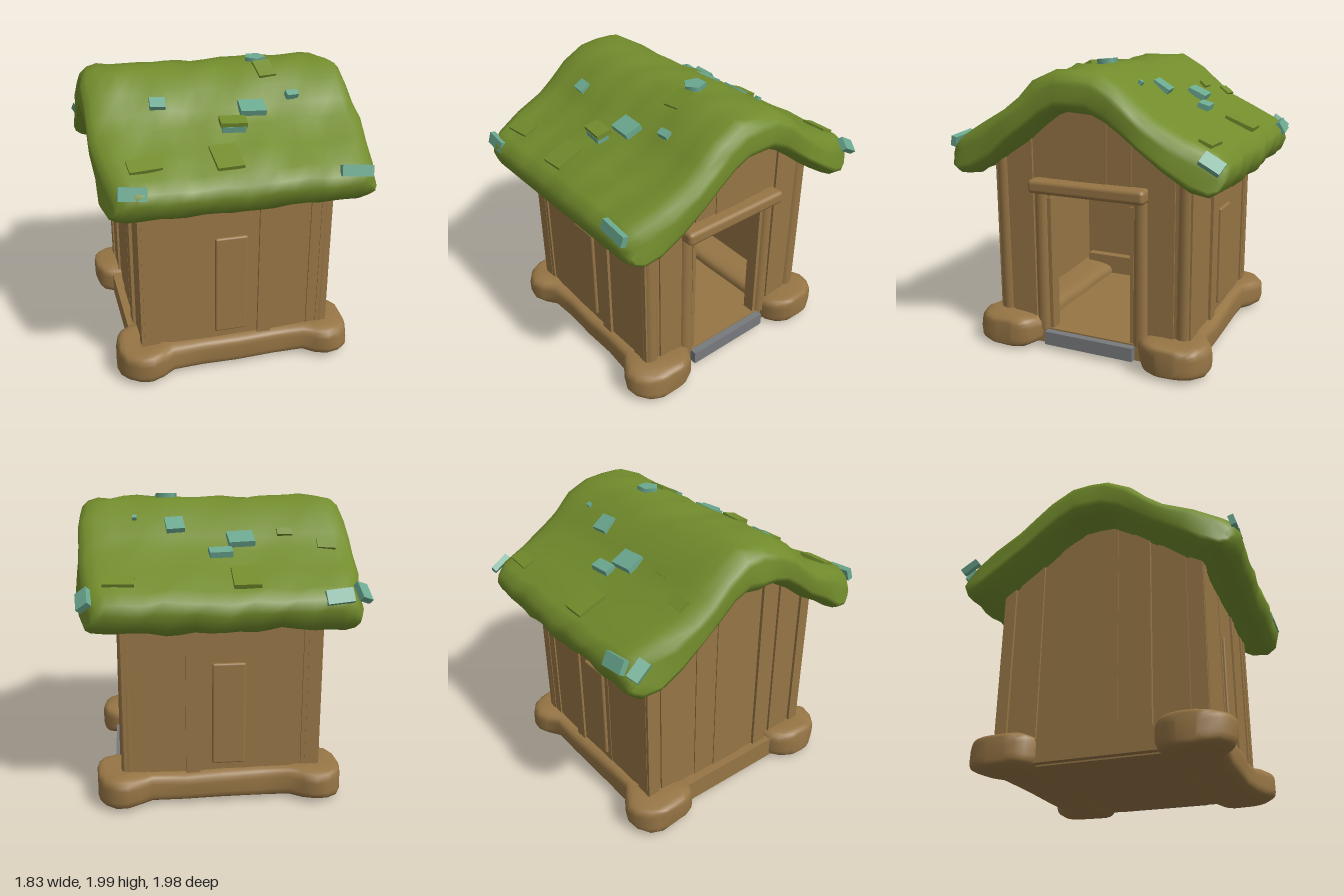
import * as THREE from 'three';
import { RoundedBoxGeometry } from 'three/addons/geometries/RoundedBoxGeometry.js';

const mat = (name, color) => Object.assign(new THREE.MeshStandardMaterial({ color }), { name });

// Half profiles of the roof as [z, y], ridge to eave
const TOP = [[0, 1.97], [0.14, 1.96], [0.3, 1.87], [0.42, 1.765], [0.53, 1.68], [0.72, 1.585], [0.9, 1.505], [0.965, 1.44], [0.975, 1.37]];
const LOW = [[0, 1.69], [0.1, 1.69], [0.2, 1.65], [0.32, 1.57], [0.45, 1.47], [0.6, 1.36], [0.75, 1.265], [0.87, 1.235], [0.94, 1.28]];

function heightAt(profile, z) {
  const a = Math.abs(z);
  let i = 0;
  while (i < profile.length - 2 && profile[i + 1][0] < a) i++;
  const [z0, y0] = profile[i], [z1, y1] = profile[i + 1];
  return y0 + (y1 - y0) * (a - z0) / (z1 - z0);
}
const wobble = (x, y, z) => Math.sin(x * 9 + z * 5) * Math.cos(z * 8 - y * 6 + x * 3) + 0.5 * Math.sin(x * 21 + y * 17 + z * 13);

// Joins rings of [x, y, z] points laid along x; ring point i faces point last - i
function loft(rings) {
  const size = rings[0].length, idx = [], last = size - 1, e = (rings.length - 1) * size;
  for (let k = 0; k < rings.length - 1; k++) for (let i = 0; i < size; i++) {
    const a = k * size + i, b = k * size + (i + 1) % size;
    idx.push(a, b, a + size, b, b + size, a + size);
  }
  for (let t = 0; t < size / 2 - 1; t++) {
    const b = last - t;
    idx.push(e + t, e + t + 1, e + b - 1, e + t, e + b - 1, e + b);
    idx.push(t, b - 1, t + 1, t, b, b - 1);
  }
  const g = new THREE.BufferGeometry();
  g.setAttribute('position', new THREE.Float32BufferAttribute(rings.flat(2), 3));
  g.setIndex(idx);
  g.computeVertexNormals();
  return g;
}

// Thick bent slab with softened ends and trimmed eave corners
function roofGeometry() {
  const mirror = (h) => [...h.slice(1).reverse().map(([z, y]) => [-z, y]), ...h];
  const top = mirror(TOP), low = mirror(LOW), n = top.length;
  const xs = [[-0.9, 0.35], [-0.89, 0.6], [-0.85, 0.85], [-0.78, 1]];
  for (let i = 1; i < 16; i++) xs.push([-0.78 + i * 1.56 / 16, 1]);
  xs.push([0.78, 1], [0.85, 0.85], [0.89, 0.6], [0.9, 0.35]);
  return loft(xs.map(([x, s]) => Array.from({ length: 2 * n }, (_, i) => {
    const j = Math.min(i, 2 * n - 1 - i);
    const [z, y] = i < n ? top[j] : low[j];
    const my = (top[j][1] + low[j][1]) / 2, mz = (top[j][0] + low[j][0]) / 2;
    const w = 0.012 * wobble(x, y, z);
    const trim = 1 - 0.085 * Math.pow(Math.max(0, (Math.abs(z) - 0.62) / 0.35), 2);
    return [x * trim + w, my + (y - my) * s + w, (mz + (z - mz) * s) * (0.94 + 0.06 * s) + w * 0.7];
  })));
}

// Log that swells into round knobs at both ends; side is the sign of z
function logGeometry(side) {
  // [x, outer reach, inner reach, height factor]
  const half = [[0, 0.16, 0.22, 0.95], [0.25, 0.15, 0.22, 0.96], [0.46, 0.16, 0.22, 0.96], [0.54, 0.22, 0.23, 1],
    [0.62, 0.255, 0.245, 1.03], [0.7, 0.24, 0.235, 1.03], [0.77, 0.19, 0.19, 1], [0.805, 0.13, 0.13, 0.9], [0.82, 0.07, 0.07, 0.7]];
  const all = [...half.slice(1).reverse().map(([x, ...r]) => [-x, ...r]), ...half];
  const n = 12, soft = (v) => Math.sign(v) * Math.pow(Math.abs(v), 0.5);
  return loft(all.map(([x, out, inn, h]) => Array.from({ length: 2 * n }, (_, i) => {
    const a = Math.PI - Math.PI * (i + 0.5) / n;
    const c = soft(Math.cos(a)), y = 0.13 + 0.108 * h * soft(Math.sin(a));
    const z = side * 0.61 + c * (c * side > 0 ? out : inn), w = 0.007 * wobble(x, y, z);
    return [x + w, y + w, z + w];
  })));
}

export function createModel() {
  const model = new THREE.Group();
  model.name = 'hut';
  const wood = mat('wood', 0x967545), moss = mat('moss', 0x728c2c);
  const teal = mat('tealShingle', 0x6ba890), stone = mat('stone', 0x777a7d);

  const add = (name, geo, material, x = 0, y = 0, z = 0) => {
    const m = new THREE.Mesh(geo, material);
    m.name = name;
    m.position.set(x, y, z);
    model.add(m);
    return m;
  };
  // Box given by its limits
  const block = (name, x0, x1, y0, y1, z0, z1, material = wood) =>
    add(name, new THREE.BoxGeometry(x1 - x0, y1 - y0, z1 - z0), material, (x0 + x1) / 2, (y0 + y1) / 2, (z0 + z1) / 2);

  // Upright plank whose top is cut to the roof slope
  function plank(name, x0, x1, y0, z0, z1) {
    const g = new THREE.BoxGeometry(x1 - x0, 1, z1 - z0);
    g.translate((x0 + x1) / 2, 0, (z0 + z1) / 2);
    const p = g.attributes.position;
    for (let i = 0; i < p.count; i++) {
      const z = p.getZ(i);
      p.setY(i, p.getY(i) < 0 ? y0 : heightAt(LOW, z) + 0.05);
    }
    g.computeVertexNormals();
    add(name, g, wood);
  }

  add('mossRoof', roofGeometry(), moss);
  block('ceiling', -0.6, 0.6, 1.3, 1.32, -0.65, 0.65);

  // Base
  for (const s of [-1, 1]) add('foundationLog', logGeometry(s), wood);
  block('floor', -0.66, 0.66, 0.035, 0.15, -0.66, 0.66);
  block('rearSill', -0.71, -0.58, 0.045, 0.2, -0.4, 0.4);
  block('innerSill', -0.6, -0.5, 0.15, 0.3, -0.6, 0.6);
  block('doorStep', 0.55, 0.71, 0.045, 0.14, -0.33, 0.33, stone);

  // Long walls: [x0, x1, stand-out]
  const longPlanks = [[-0.665, -0.54, 0.012], [-0.54, -0.2, 0], [-0.2, 0.14, 0.004], [0.14, 0.235, 0.02], [0.235, 0.5, 0], [0.5, 0.64, 0.01]];
  for (const s of [-1, 1]) {
    for (const [x0, x1, d] of longPlanks) {
      const a = s * 0.63, b = s * (0.7 + d);
      plank('longWallPlank', x0, x1, 0.18, Math.min(a, b), Math.max(a, b));
    }
    add('wallPanel', new RoundedBoxGeometry(0.22, 0.7, 0.06, 2, 0.012), wood, -0.05, 0.63, s * 0.694);
    // Round corner posts by the door side
    add('cornerPost', new THREE.CylinderGeometry(0.055, 0.058, 1.2, 10), wood, 0.608, 0.8, s * 0.662);
  }

  // Gable walls: [z0, z1, stand-out], mirrored in z
  const sidePlanks = [[0.6, 0.715, 0], [0.42, 0.6, 0.012], [0.3, 0.42, -0.005]];
  for (const s of [-1, 1]) {
    const span = (z0, z1) => (s > 0 ? [z0, z1] : [-z1, -z0]);
    for (const [z0, z1, d] of sidePlanks) {
      plank('doorWallPlank', 0.57, 0.645 + d, 0.15, ...span(z0, z1));
      plank('rearWallPlank', -0.645 - d, -0.57, 0.15, ...span(z0, z1));
    }
    plank('doorGablePlank', 0.57, 0.648, 1.12, ...span(0.13, 0.3));
    plank('rearWallPlank', -0.648, -0.57, 0.15, ...span(0.13, 0.3));
    // Door frame
    add('doorPost', new THREE.CylinderGeometry(0.05, 0.056, 1.0, 12), wood, 0.622, 0.64, s * 0.365);
    block('doorTrim', 0.56, 0.65, 0.14, 1.09, s * 0.305 - 0.014, s * 0.305 + 0.014);
  }
  plank('doorGablePlank', 0.57, 0.655, 1.12, -0.13, 0.13);
  plank('rearWallPlank', -0.655, -0.57, 0.15, -0.13, 0.13);
  plank('rearPost', -0.67, -0.6, 0.15, 0.25, 0.36);
  add('lintel', new RoundedBoxGeometry(0.15, 0.095, 0.84, 3, 0.03), wood, 0.665, 1.178, 0);

  // Shingles: [x, z, width, length, lift, tilt factor, roll]
  const tealTiles = [
    [-0.15, -0.47, 0.17, 0.13, 0.02, 0.65, 0], [-0.01, -0.565, 0.15, 0.08, 0.015, 0.65, 0], [0.27, -0.36, 0.12, 0.12, 0.01, 0.8, 0],
    [0.53, -0.31, 0.03, 0.03, 0.005, 0.8, 0], [0.15, 0.46, 0.17, 0.12, 0.03, 0.6, 0], [-0.455, 0.39, 0.1, 0.08, 0.02, 0.8, 0],
    [0.445, 0.39, 0.08, 0.05, 0.02, 0.7, 0], [-0.01, 0.58, 0.15, 0.08, 0.03, 0.5, 0], [-0.72, 0.95, 0.17, 0.08, 0, 1.25, 0],
    [0.68, 0.95, 0.21, 0.07, 0.005, 1.25, 0], [-0.69, -0.95, 0.17, 0.09, 0.005, 1, 0],
    [-0.85, -0.9, 0.08, 0.13, -0.035, 1, 0.5], [0.85, -0.89, 0.09, 0.14, -0.045, 1, -0.7],
  ];
  const mossTiles = [
    [-0.14, -0.79, 0.17, 0.21, 0.004, 0.9, 0], [0.32, 0.18, 0.12, 0.15, 0, 1, 0], [-0.11, 0.78, 0.17, 0.21, 0.004, 0.9, 0],
    [-0.62, 0.79, 0.2, 0.11, 0.004, 0.9, 0], [0.64, -0.81, 0.19, 0.09, 0.004, 0.9, 0], [-0.71, -0.5, 0.12, 0.08, 0, 1, 0],
    [-0.45, -0.41, 0.1, 0.06, 0, 1, 0], [-0.01, 0.575, 0.17, 0.1, 0.06, 0.5, 0],
  ];
  const tile = (name, geo, material, x, z, lift, tilt, roll) => {
    const slope = (heightAt(TOP, z + 0.02) - heightAt(TOP, z - 0.02)) / 0.04;
    const m = add(name, geo, material, x, heightAt(TOP, z) + lift, z);
    m.rotation.set(-Math.atan(slope) * tilt, 0.1 * Math.sin(x * 40 + z * 9), roll);
  };
  for (const [x, z, w, l, ...place] of tealTiles) tile('tealShingle', new THREE.BoxGeometry(w, 0.04, l), teal, x, z, ...place);
  for (const [x, z, w, l, ...place] of mossTiles) tile('mossShingle', new THREE.BoxGeometry(w, 0.032, l), moss, x, z, ...place);
  tile('ridgeShingle', new THREE.CylinderGeometry(0.075, 0.075, 0.035, 5), teal, 0.3, 0.03, 0.012, 1, 0);

  return model;
}
